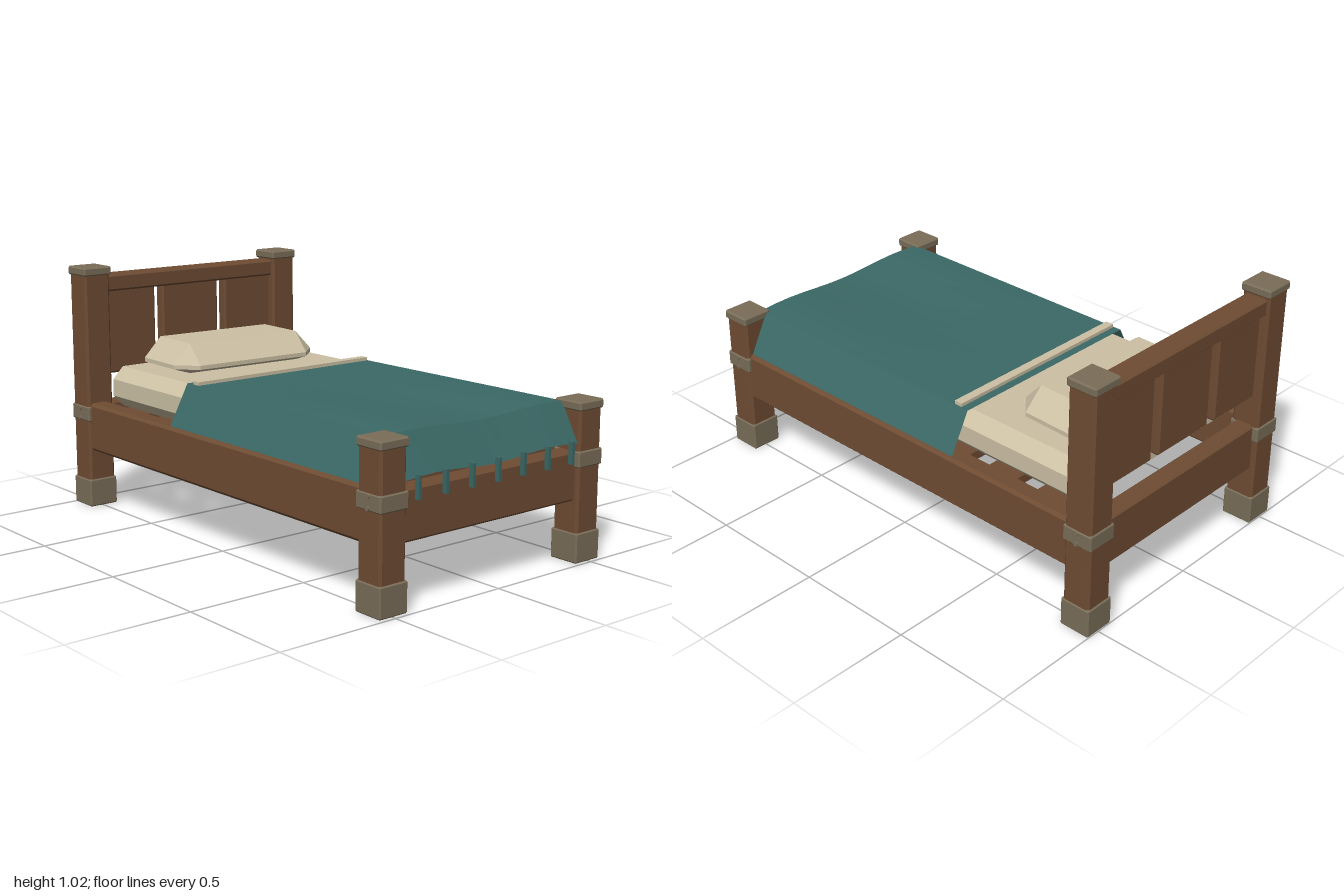
import * as THREE from 'three';
import { ConvexGeometry } from 'three/addons/geometries/ConvexGeometry.js';

const mat = (name, color, side = THREE.FrontSide) => {
  const m = new THREE.MeshStandardMaterial({ color, side });
  m.name = name;
  return m;
};

// Box with every edge cut off at an angle
function chamferBox(w, h, d, c) {
  const pts = [];
  for (const x of [-w / 2, w / 2]) for (const y of [-h / 2, h / 2]) for (const z of [-d / 2, d / 2]) {
    const ix = x - Math.sign(x) * c, iy = y - Math.sign(y) * c, iz = z - Math.sign(z) * c;
    pts.push(new THREE.Vector3(x, iy, iz), new THREE.Vector3(ix, y, iz), new THREE.Vector3(ix, iy, z));
  }
  return new ConvexGeometry(pts);
}

// Flat-shaded sheet through rows of [x, y, z] points
function sheet(rows) {
  const pos = [];
  for (let i = 0; i < rows.length - 1; i++) for (let j = 0; j < rows[i].length - 1; j++) {
    const a = rows[i][j], b = rows[i + 1][j], c = rows[i + 1][j + 1], d = rows[i][j + 1];
    pos.push(...a, ...b, ...c, ...a, ...c, ...d);
  }
  const g = new THREE.BufferGeometry();
  g.setAttribute('position', new THREE.Float32BufferAttribute(pos, 3));
  g.computeVertexNormals();
  return g;
}

export function createModel() {
  const bed = new THREE.Group();
  bed.name = 'bed';
  const wood = mat('wood', 0x6f4c33);
  const iron = mat('greyMetal', 0x7a6e59);
  const linen = mat('linen', 0xcdc1a5);
  const cloth = mat('tealCloth', 0x3b6966, THREE.DoubleSide);

  const add = (name, geo, material, x = 0, y = 0, z = 0, parent = bed) => {
    const m = new THREE.Mesh(geo, material);
    m.name = name;
    m.position.set(x, y, z);
    parent.add(m);
    return m;
  };
  // Chamfered box given by its bottom and top heights
  const block = (name, material, x, z, w, d, y0, y1, c = 0.008, parent = bed) =>
    add(name, chamferBox(w, y1 - y0, d, c), material, x, (y0 + y1) / 2, z, parent);

  // Corner posts with foot, band, bolts and cap
  for (const s of [-1, 1]) for (const [label, z, top] of [['front', 0.921, 0.625], ['back', -0.935, 1.025]]) {
    const post = new THREE.Group();
    post.name = label + (s > 0 ? 'Left' : 'Right') + 'Post';
    bed.add(post);
    const x = s * 0.495;
    block('postShaft', wood, x, z, 0.122, 0.12, 0.02, top - 0.01, 0.01, post);
    block('postFoot', iron, x, z, 0.13, 0.13, 0, 0.118, 0.005, post);
    block('postBand', iron, x, z, 0.13, 0.13, 0.372, 0.436, 0.005, post);
    block('postCap', iron, x, z, 0.132, 0.13, top - 0.036, top, 0.006, post);
    for (const y of [0.382, 0.424]) {
      const bolt = add('bandBolt', new THREE.CylinderGeometry(0.009, 0.009, 0.012, 8), iron, s * 0.56, y, z, post);
      bolt.rotation.z = Math.PI / 2;
    }
  }

  // Frame rails
  for (const s of [-1, 1]) block('sideRail', wood, s * 0.503, 0, 0.085, 1.78, 0.245, 0.45, 0.012);
  block('footRail', wood, 0, 0.921, 0.92, 0.08, 0.242, 0.435);
  block('headRail', wood, 0, -0.935, 0.92, 0.08, 0.242, 0.44);

  // Headboard
  block('headboardTopRail', wood, 0, -0.937, 0.92, 0.095, 0.915, 0.985);
  block('headboardPanel', wood, 0, -0.935, 0.296, 0.05, 0.56, 0.93);
  for (const s of [-1, 1]) block('headboardPanel', wood, s * 0.325, -0.935, 0.28, 0.05, 0.56, 0.93);

  // Slats under the mattress
  for (let i = 0; i < 7; i++) block('slat', wood, 0, 0.72 - 0.24 * i, 0.95, 0.14, 0.38, 0.432, 0.008);

  block('mattress', linen, 0, -0.003, 0.92, 1.75, 0.431, 0.602, 0.05);

  // Pillow: broad middle ring tapering to the top and bottom
  const pillowPts = [];
  for (const sx of [-1, 1]) for (const sz of [-1, 1]) {
    for (const y of [0.6, 0.725]) pillowPts.push(new THREE.Vector3(sx * 0.27, y, sz * 0.115));
    for (const y of [0.625, 0.642]) {
      pillowPts.push(new THREE.Vector3(sx * 0.35, y, sz * 0.115), new THREE.Vector3(sx * 0.27, y, sz * 0.193));
    }
  }
  add('pillow', new ConvexGeometry(pillowPts), linen, -0.002, 0, -0.626).rotation.y = -0.04;

  // Blanket: gently rippled top with side flaps
  const xs = Array.from({ length: 13 }, (_, i) => -0.445 + (0.89 * i) / 12);
  const topY = (x, z) => 0.612 - 0.007 * Math.cos(x * 10) * THREE.MathUtils.smoothstep(z, -0.3, 0.89);
  const topRow = z => xs.map(x => [x, topY(x, z), z]);
  const rows = [];
  for (let i = 0; i <= 10; i++) {
    const z = -0.3 + 0.119 * i;
    rows.push([[-0.53, 0.45, z], ...topRow(z), [0.53, 0.45, z]]);
  }
  add('blanket', sheet(rows), cloth);

  // Overhang at the foot with a wavy hem
  const hem = xs.map(x => [x, 0.467 - 0.008 * Math.cos(x * 11), 0.972]);
  add('blanketOverhang', sheet([topRow(0.89), hem]), cloth);

  // Turned-back edge and tassels
  add('blanketFold', new THREE.BoxGeometry(0.88, 0.014, 0.036), linen, 0, 0.619, -0.247);
  for (let i = -3; i <= 3; i++) {
    add('tassel', new THREE.BoxGeometry(0.013, 0.088, 0.02), cloth, i * 0.129, 0.441, 0.985);
  }
  return bed;
}
